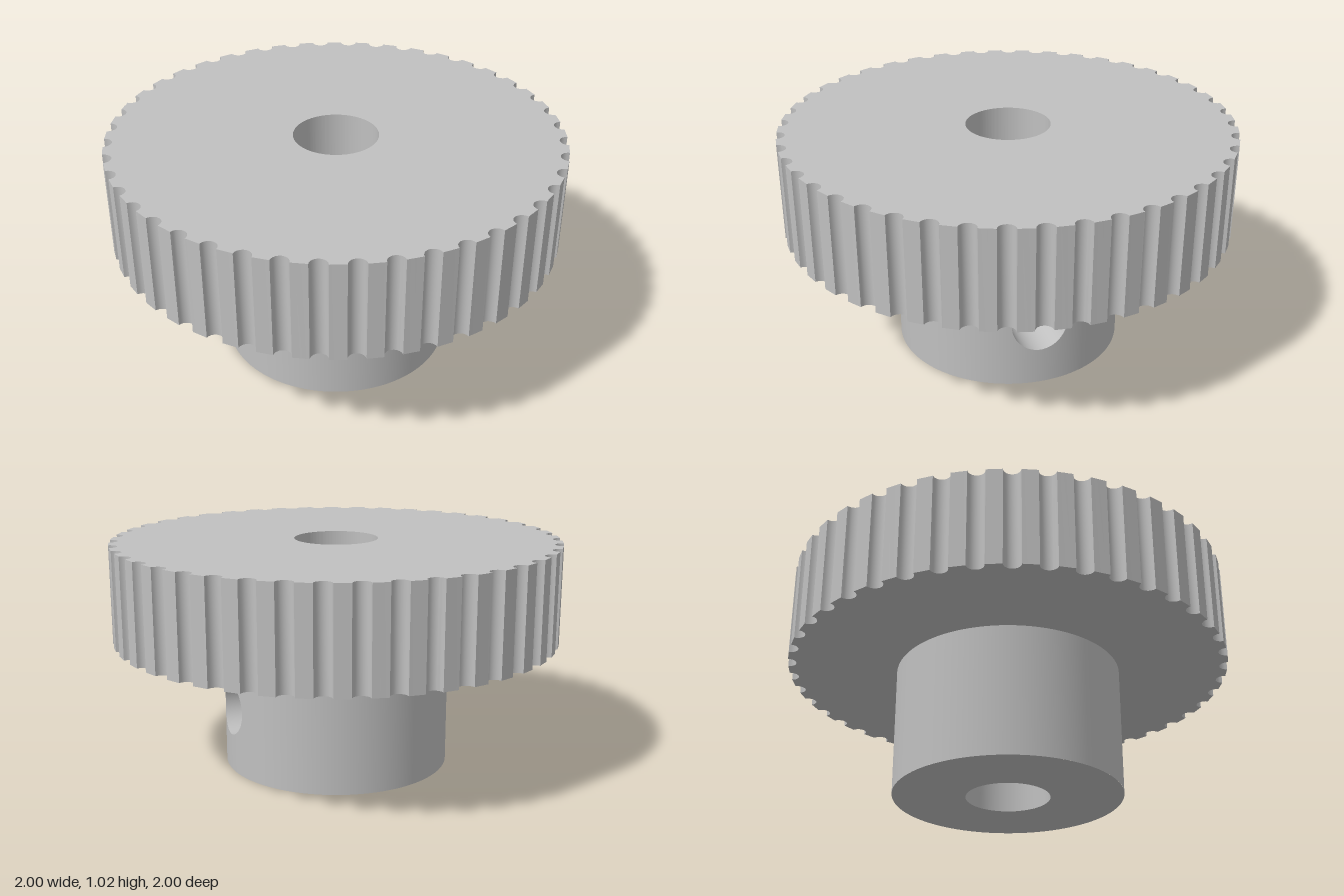
import * as THREE from 'three';
import { toCreasedNormals } from 'three/addons/utils/BufferGeometryUtils.js';

const HUB_R = 0.51, BORE_R = 0.187, HUB_H = 0.585, TOP = 1.024;
const HOLE_R = 0.126, HOLE_Y = 0.2925; // set-screw hole, on the +x side
const TEETH = 44, GROOVE_R = 0.037;
const PATCH_W = 0.15;                  // half width of the wall patch around the hole

// Angles around the hole, with samples exactly on the patch corners
const corner = Math.atan2(HUB_H / 2, PATCH_W);
const breaks = [-corner, corner, Math.PI - corner, Math.PI + corner, 2 * Math.PI - corner];
const angles = [];
for (let s = 0; s < 4; s++) {
  for (let k = 0; k < 20; k++) angles.push(THREE.MathUtils.lerp(breaks[s], breaks[s + 1], k / 20));
}

// Closed loops joined into a surface; point(row, angle) returns [position, normal]
function loops(rows, point, flip = false) {
  const pos = [], nor = [], index = [], n = angles.length;
  for (let i = 0; i <= rows; i++) {
    for (const t of angles) {
      const [p, q] = point(i / rows, t);
      pos.push(...p);
      nor.push(...q);
    }
  }
  for (let i = 0; i < rows; i++) {
    for (let j = 0; j < n; j++) {
      const a = i * n + j, d = i * n + (j + 1) % n, b = a + n, c = d + n;
      if (flip) index.push(a, b, c, a, c, d);
      else index.push(a, c, b, a, d, c);
    }
  }
  const g = new THREE.BufferGeometry();
  g.setAttribute('position', new THREE.Float32BufferAttribute(pos, 3));
  g.setAttribute('normal', new THREE.Float32BufferAttribute(nor, 3));
  g.setIndex(index);
  return g;
}

// Patch of a cylinder wall between the round hole and a rectangle
function holePatch(R, inward) {
  const sign = inward ? -1 : 1;
  return loops(5, (v, t) => {
    const c = Math.cos(t), s = Math.sin(t);
    const edge = Math.min(PATCH_W / Math.abs(c), HUB_H / 2 / Math.abs(s));
    const r = THREE.MathUtils.lerp(HOLE_R, edge, v);
    const z = r * c, x = Math.sqrt(R * R - z * z);
    return [[x, HOLE_Y + r * s, z], [sign * x / R, 0, sign * z / R]];
  }, inward);
}

// The rest of the cylinder wall, leaving room for the patch
function wallArc(R, inward) {
  const a = Math.asin(PATCH_W / R);
  const g = new THREE.CylinderGeometry(R, R, HUB_H, 96, 1, true, Math.PI / 2 + a, 2 * Math.PI - 2 * a);
  g.translate(0, HUB_H / 2, 0);
  if (inward) {
    g.index.array.reverse();
    const n = g.attributes.normal.array;
    for (let i = 0; i < n.length; i++) n[i] = -n[i];
  }
  return g;
}

// Disc with round grooves cut into the rim and a central bore
function toothedDisc() {
  const pts = [], step = 2 * Math.PI / TEETH, half = GROOVE_R;
  for (let i = 0; i < TEETH; i++) {
    const mid = i * step;
    for (let k = 0; k <= 10; k++) { // groove
      const t = Math.PI * k / 10;
      const u = 1 - GROOVE_R * Math.sin(t), v = -GROOVE_R * Math.cos(t);
      pts.push(new THREE.Vector2(u * Math.cos(mid) - v * Math.sin(mid), u * Math.sin(mid) + v * Math.cos(mid)));
    }
    for (let k = 1; k < 4; k++) { // land between grooves
      const t = mid + half + (step - 2 * half) * k / 4;
      pts.push(new THREE.Vector2(Math.cos(t), Math.sin(t)));
    }
  }
  const shape = new THREE.Shape(pts);
  shape.holes.push(new THREE.Path().absarc(0, 0, BORE_R, 0, 2 * Math.PI, true));
  const g = new THREE.ExtrudeGeometry(shape, { depth: TOP - HUB_H, bevelEnabled: false, curveSegments: 96 });
  g.rotateX(-Math.PI / 2).translate(0, HUB_H, 0);
  return toCreasedNormals(g, 0.5);
}

export function createModel() {
  const metal = new THREE.MeshStandardMaterial({ color: 0xc0c0c0 });
  metal.name = 'plain grey';
  const model = new THREE.Group();
  model.name = 'toothedPulley';
  const hub = new THREE.Group();
  hub.name = 'hub';
  const add = (parent, name, geometry) => {
    const mesh = new THREE.Mesh(geometry, metal);
    mesh.name = name;
    parent.add(mesh);
  };

  add(model, 'toothedDisc', toothedDisc());

  // Hub: outer wall, lower bore and bottom ring
  add(hub, 'hubWall', wallArc(HUB_R, false));
  add(hub, 'hubWallAroundHole', holePatch(HUB_R, false));
  add(hub, 'boreWall', wallArc(BORE_R, true));
  add(hub, 'boreWallAroundHole', holePatch(BORE_R, true));
  add(hub, 'hubBottom', new THREE.RingGeometry(BORE_R, HUB_R, 96).rotateX(Math.PI / 2));

  // Set-screw hole running from the bore to the outer wall
  add(hub, 'setScrewHole', loops(1, (v, t) => {
    const z = HOLE_R * Math.cos(t), R = v ? HUB_R : BORE_R;
    return [[Math.sqrt(R * R - z * z), HOLE_Y + HOLE_R * Math.sin(t), z], [0, -Math.sin(t), -Math.cos(t)]];
  }));
  model.add(hub);
  return model;
}
